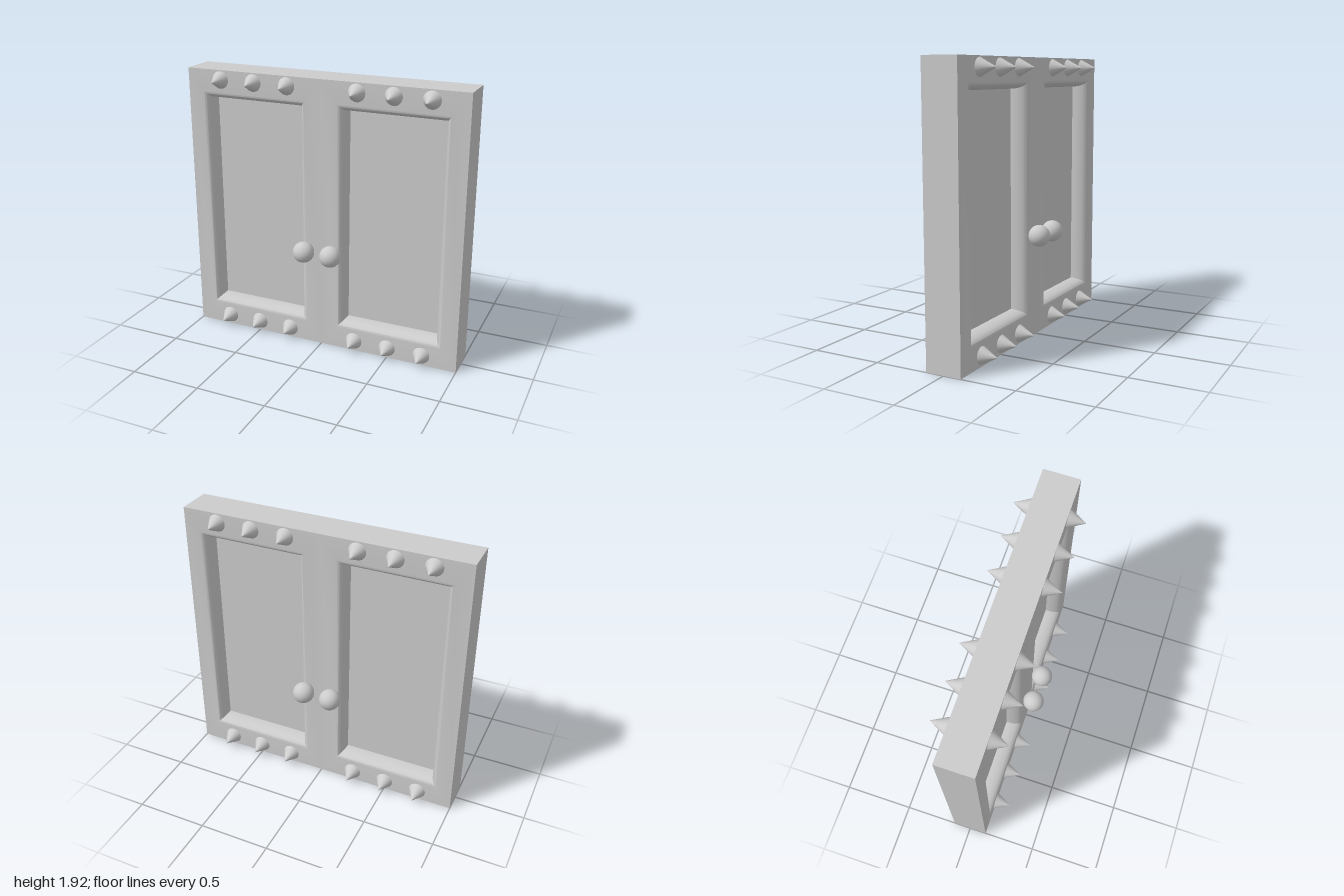
import * as THREE from 'three';
import { toCreasedNormals } from 'three/addons/utils/BufferGeometryUtils.js';

const H = 1.925, HALF_DEPTH = 0.125, PANEL_Z = 0.015;
const INSET_X = 0.165, INSET_Y = 0.207, ROUND = 0.05;
const material = new THREE.MeshStandardMaterial({ color: 0xcccccc });

function add(parent, geometry, name, x, y, z) {
  const mesh = new THREE.Mesh(geometry, material);
  mesh.name = name;
  mesh.position.set(x, y, z);
  parent.add(mesh);
  return mesh;
}

// Joins a row of rectangles [insetX, insetY, z] of a 1 x H leaf with mitred strips
function loftRects(rects) {
  const loops = rects.map(([ix, iy, z]) => {
    const a = 0.5 - ix, b = H / 2 - iy;
    return [[-a, -b, z], [a, -b, z], [a, b, z], [-a, b, z]];
  });
  const pos = [];
  for (let i = 0; i < loops.length - 1; i++) {
    for (let k = 0; k < 4; k++) {
      const n = (k + 1) % 4, p = loops[i], q = loops[i + 1];
      pos.push(...p[k], ...p[n], ...q[n], ...p[k], ...q[n], ...q[k]);
    }
  }
  const geometry = new THREE.BufferGeometry();
  geometry.setAttribute('position', new THREE.Float32BufferAttribute(pos, 3));
  return toCreasedNormals(geometry, 0.6);
}

// Frame section: flat face, then a rounded edge sinking to the panel
function frameGeometry() {
  const front = [[0, 0, HALF_DEPTH]];
  const steps = 12, drop = HALF_DEPTH - PANEL_Z;
  for (let i = 0; i <= steps; i++) {
    const t = (i / steps) * Math.PI / 2;
    const d = ROUND * (1 - Math.sin(t));
    front.push([INSET_X - d, INSET_Y - d, PANEL_Z + drop * Math.cos(t)]);
  }
  const back = front.map(([x, y, z]) => [x, y, -z]).reverse();
  return loftRects([...back, ...front]);
}

export function createModel() {
  const group = new THREE.Group();
  group.name = 'doubleDoor';

  const frame = frameGeometry();
  const panel = new THREE.BoxGeometry(1 - 2 * INSET_X, H - 2 * INSET_Y, 2 * PANEL_Z);
  const knob = new THREE.SphereGeometry(0.074, 32, 20);
  const spike = new THREE.ConeGeometry(0.06, 0.115, 32, 1, true).rotateX(Math.PI / 2);

  for (const side of [-1, 1]) {
    const leaf = new THREE.Group();
    leaf.name = side > 0 ? 'leftLeaf' : 'rightLeaf';
    group.add(leaf);
    add(leaf, frame, 'frame', side * 0.5, H / 2, 0);
    add(leaf, panel, 'panel', side * 0.5, H / 2, 0);

    // Knobs and rows of spikes on both faces
    for (const face of [-1, 1]) {
      add(leaf, knob, 'knob', side * 0.1, 0.728, face * 0.2);
      for (const y of [0.073, 1.857]) {
        for (const x of [0.25, 0.5, 0.75]) {
          const s = add(leaf, spike, 'spike', side * x, y, face * (HALF_DEPTH + 0.0575));
          if (face < 0) s.rotation.y = Math.PI;
        }
      }
    }
  }
  return group;
}
